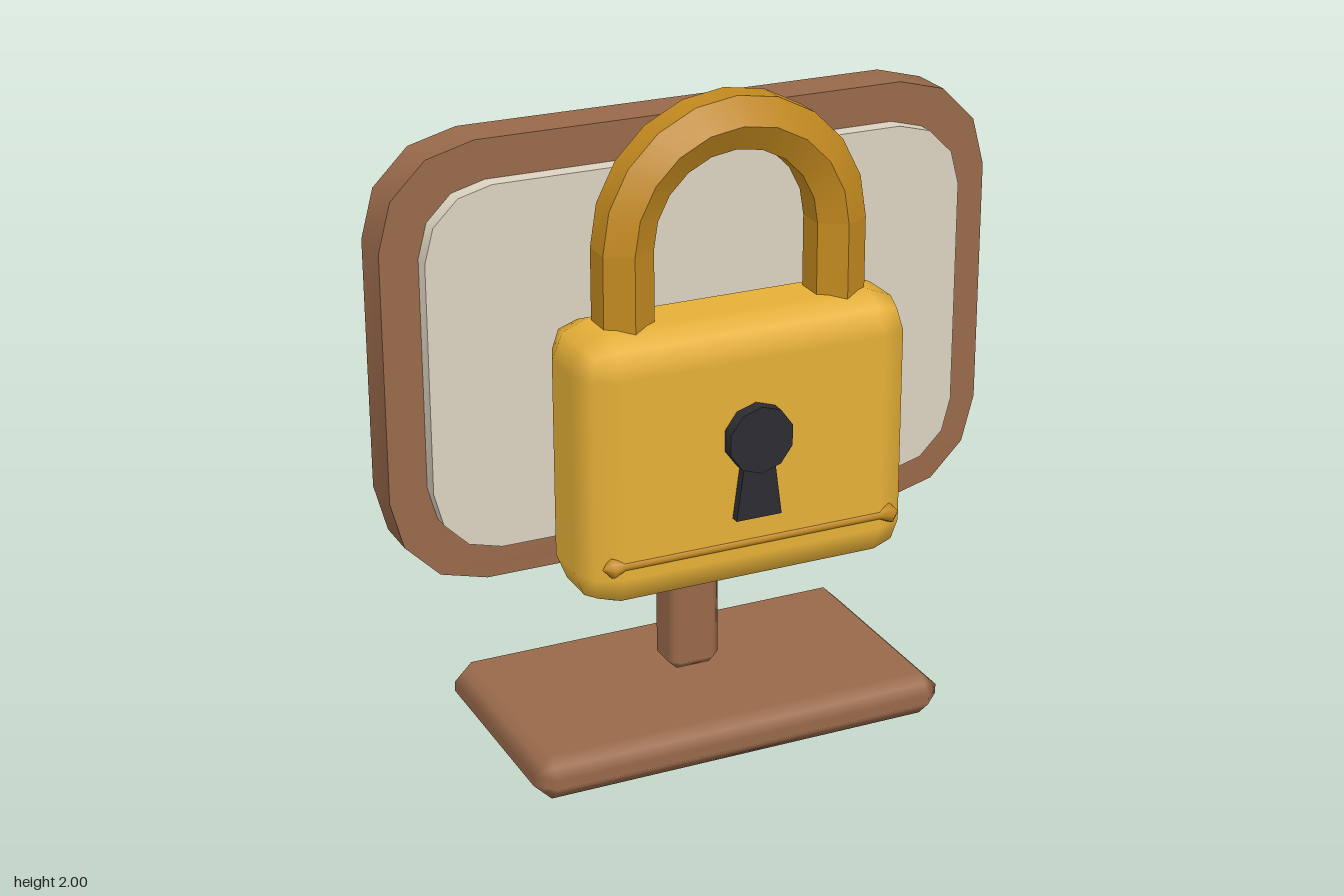
import * as THREE from 'three';
import { toCreasedNormals } from 'three/addons/utils/BufferGeometryUtils.js';
import { RoundedBoxGeometry } from 'three/addons/geometries/RoundedBoxGeometry.js';

const mat = (color) => new THREE.MeshStandardMaterial({ color });
const WOOD = mat(0x98694a), CREAM = mat(0xdcd2c0), GOLD = mat(0xe6b038);
const BRASS = mat(0xc2891f), DARK = mat(0x2c2c31);

// Box with straight chamfers but soft shading
function chamferBox(w, h, d, r) {
  const g = new RoundedBoxGeometry(w, h, d, 1, r);
  const p = g.attributes.position, n = g.attributes.normal;
  for (let i = 0; i < p.count; i++) {
    const x = n.getX(i), y = n.getY(i), z = n.getZ(i);
    const k = r * (1 / (Math.abs(x) + Math.abs(y) + Math.abs(z)) - 1);
    p.setXYZ(i, p.getX(i) + x * k, p.getY(i) + y * k, p.getZ(i) + z * k);
  }
  return g;
}

// Upright slab with rounded corners, its back at z = 0
function roundedPanel(w, h, r, depth) {
  const s = new THREE.Shape();
  [[1, 1], [-1, 1], [-1, -1], [1, -1]].forEach(([sx, sy], i) => {
    const a = i * Math.PI / 2;
    s.absarc(sx * (w / 2 - r), sy * (h / 2 - r), r, a, a + Math.PI / 2, false);
  });
  // three segments per corner
  const pts = s.curves.filter((c) => c.isEllipseCurve).flatMap((c) => c.getPoints(3));
  const g = new THREE.ExtrudeGeometry(new THREE.Shape(pts), { depth, bevelEnabled: false });
  return toCreasedNormals(g, 0.7);
}

export function createModel() {
  const root = new THREE.Group();
  const add = (parent, name, geo, material, x = 0, y = 0, z = 0) => {
    const m = new THREE.Mesh(geo, material);
    m.name = name;
    m.position.set(x, y, z);
    parent.add(m);
    return m;
  };

  // Stand and display
  add(root, 'base', chamferBox(1.31, 0.14, 0.74, 0.055), WOOD, 0, 0.07, -0.035);
  add(root, 'post', chamferBox(0.165, 0.48, 0.14, 0.03), WOOD, 0, 0.38, -0.09);
  add(root, 'frame', roundedPanel(1.88, 1.31, 0.285, 0.14), WOOD, 0, 1.23, -0.177);
  add(root, 'screen', roundedPanel(1.655, 1.08, 0.2, 0.06), CREAM, 0, 1.23, -0.045);

  // Padlock
  const lock = new THREE.Group();
  lock.name = 'padlock';
  root.add(lock);
  add(lock, 'lockBody', new RoundedBoxGeometry(1.02, 0.81, 0.346, 1, 0.11), GOLD, 0, 0.985, 0.192);

  // Shackle: hexagonal section swept over half a turn, with straight legs
  const R = 0.325, r = 0.0875, shackleY = 1.6, shackleZ = 0.195;
  const section = [];
  for (let i = 0; i <= 6; i++) {
    const a = Math.PI / 6 + i * Math.PI / 3;
    section.push(new THREE.Vector2(R + r * Math.cos(a), r * Math.sin(a)));
  }
  const arch = new THREE.LatheGeometry(section, 10, Math.PI / 2, Math.PI).rotateX(Math.PI / 2);
  add(lock, 'shackleArch', toCreasedNormals(arch, 0.7), BRASS, 0, shackleY, shackleZ);
  for (const side of [1, -1]) {
    const leg = toCreasedNormals(new THREE.CylinderGeometry(r, r, 0.3, 6), 0.7);
    add(lock, side > 0 ? 'shackleLegLeft' : 'shackleLegRight', leg, BRASS, side * R, shackleY - 0.15, shackleZ);
  }

  // Keyhole
  const disc = new THREE.CylinderGeometry(0.1, 0.1, 0.06, 10).rotateX(Math.PI / 2);
  add(lock, 'keyholeDisc', toCreasedNormals(disc, 0.7), DARK, 0, 1.055, 0.375);
  const slot = new THREE.Shape([[-0.07, 0.815], [0.07, 0.815], [0.045, 1.0], [-0.045, 1.0]]
    .map(([x, y]) => new THREE.Vector2(x, y)));
  add(lock, 'keyholeSlot', new THREE.ExtrudeGeometry(slot, { depth: 0.045, bevelEnabled: false }), DARK, 0, 0, 0.347);

  // Thin trim bars with pointed knobs, front and back
  const profile = [[0, -0.465], [0.03, -0.437], [0.014, -0.4], [0.014, 0.4], [0.03, 0.437], [0, 0.465]]
    .map(([x, y]) => new THREE.Vector2(x, y));
  for (const [name, z] of [['trimFront', 0.357], ['trimBack', 0.027]]) {
    const bar = new THREE.LatheGeometry(profile, 8).rotateZ(Math.PI / 2);
    add(lock, name, bar, BRASS, 0, 0.73, z);
  }
  return root;
}
